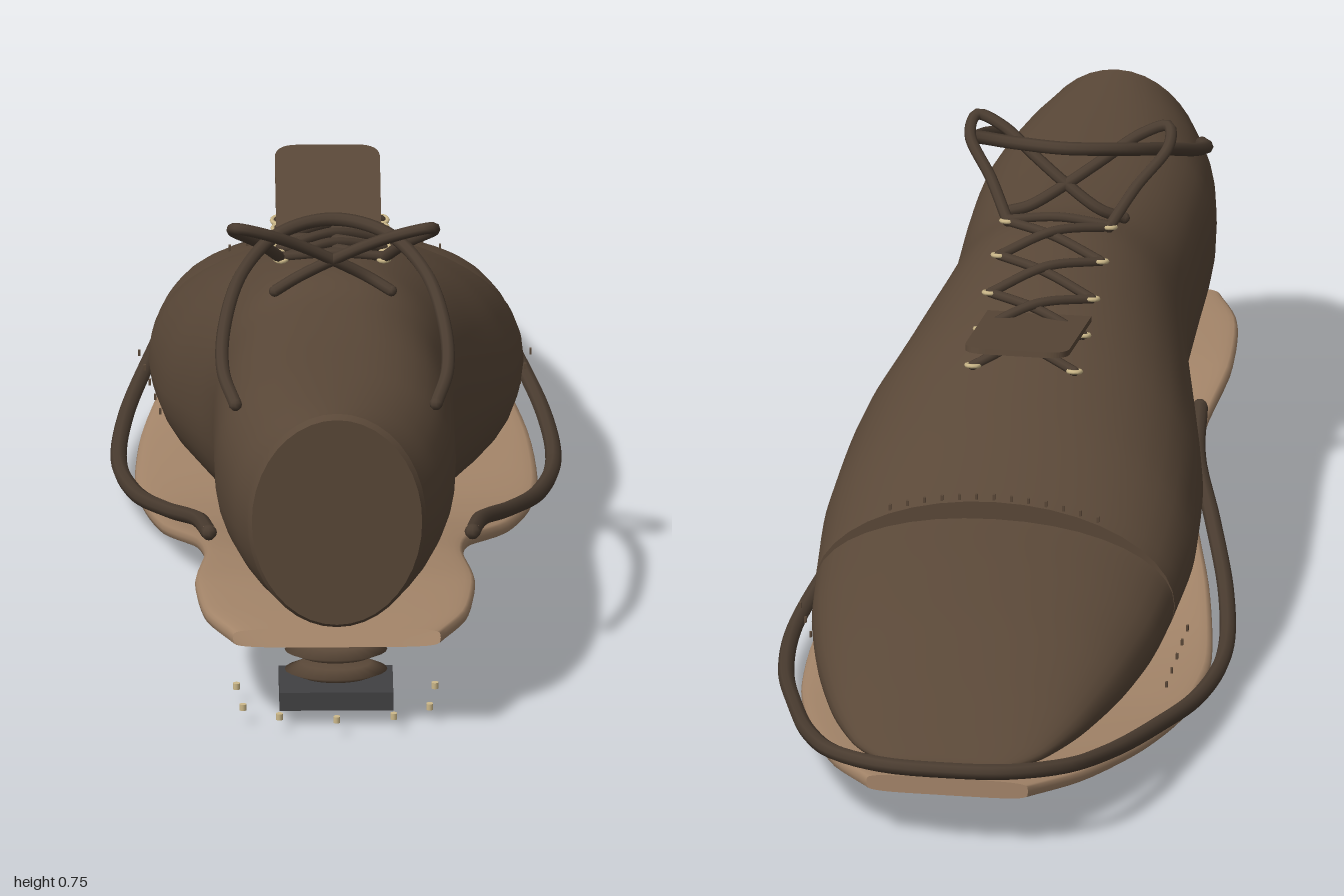
import * as THREE from 'three';

const mat = (name, color, side = THREE.FrontSide) => {
  const m = new THREE.MeshStandardMaterial({ color, side });
  m.name = name;
  return m;
};
const CX = -0.012; // slight offset of heel, lacing and tongue

// Loft of rounded sections, ordered from heel (+z) to toe (-z).
// Section: [z, top, heightOfWidest, bottom, halfWidth, centreX, squareness]
function loft(sections, { steps = 48, sides = 40, startCap = true, endCap = true } = {}) {
  const spline = (i, k) => new THREE.CatmullRomCurve3(
    sections.map(s => new THREE.Vector3(s[i], s[k], s[0])), false, 'catmullrom', 0.4);
  const [c1, c2, c3] = [spline(4, 1), spline(2, 3), spline(5, 6)];
  const pos = [], idx = [];
  const power = (v, n) => Math.sign(v) * Math.abs(v) ** (2 / n);
  for (let i = 0; i <= steps; i++) {
    const t = i / steps, p = c1.getPoint(t), q = c2.getPoint(t), r = c3.getPoint(t);
    for (let j = 0; j < sides; j++) {
      const a = j / sides * Math.PI * 2, s = power(Math.sin(a), r.y);
      const h = s > 0 ? p.y - q.x : q.x - q.y;
      pos.push(r.x + p.x * power(Math.cos(a), r.y), q.x + h * s, p.z);
    }
  }
  for (let i = 0; i < steps; i++) for (let j = 0; j < sides; j++) {
    const a = i * sides + j, b = i * sides + (j + 1) % sides;
    idx.push(a, a + sides, b, b, a + sides, b + sides);
  }
  // flat ends with their own vertices
  const cap = (ring, flip) => {
    const base = pos.length / 3, o = ring * sides, s = sections[flip ? sections.length - 1 : 0];
    for (let k = 0; k < sides * 3; k++) pos.push(pos[o * 3 + k]);
    pos.push(s[5], s[2], s[0]);
    for (let j = 0; j < sides; j++) {
      const a = base + j, b = base + (j + 1) % sides;
      idx.push(base + sides, flip ? b : a, flip ? a : b);
    }
  };
  if (startCap) cap(0, false);
  if (endCap) cap(steps, true);
  const g = new THREE.BufferGeometry();
  g.setAttribute('position', new THREE.Float32BufferAttribute(pos, 3));
  g.setIndex(idx);
  g.computeVertexNormals();
  return g;
}

export function createModel() {
  const model = new THREE.Group();
  model.name = 'shoe';
  const leather = mat('brownLeather', 0x5a4838);
  const cord = mat('darkCord', 0x4a3c30);
  const tan = mat('tanSole', 0xa5866a, THREE.DoubleSide);
  const rubber = mat('blackRubber', 0x414143);
  const brass = mat('paleBrass', 0xcdb98a);

  const add = (name, geo, material, parent = model) => {
    const m = new THREE.Mesh(geo, material);
    m.name = name;
    parent.add(m);
    return m;
  };
  const group = name => {
    const g = new THREE.Group();
    g.name = name;
    model.add(g);
    return g;
  };
  const tube = (name, pts, r, parent = model, seg = 60) => {
    const v = pts.map(p => new THREE.Vector3(...p));
    add(name, new THREE.TubeGeometry(new THREE.CatmullRomCurve3(v), seg, r, 8), cord, parent);
    for (const p of [v[0], v[v.length - 1]])
      add(name + 'End', new THREE.SphereGeometry(r, 8, 6), cord, parent).position.copy(p);
  };

  // Upper, from the closed heel to the toe cap seam
  add('upper', loft([
    [0.985, 0.605, 0.41, 0.213, 0.153, CX, 2],
    [0.9, 0.602, 0.41, 0.21, 0.182, CX, 2.15],
    [0.75, 0.597, 0.41, 0.203, 0.205, CX, 2.4],
    [0.58, 0.593, 0.4, 0.182, 0.207, CX, 2.5],
    [0.42, 0.598, 0.37, 0.15, 0.208, CX, 2.4],
    [0.31, 0.612, 0.34, 0.12, 0.225, -0.01, 2.2],
    [0.15, 0.59, 0.3, 0.09, 0.268, -0.005, 2.05],
    [0, 0.55, 0.27, 0.068, 0.305, 0, 2],
    [-0.2, 0.475, 0.245, 0.06, 0.321, 0, 2],
    [-0.38, 0.395, 0.22, 0.068, 0.312, 0, 2],
  ]), leather);

  // Heel panel set into a thin rim
  add('heelPanel', loft([
    [0.995, 0.597, 0.41, 0.221, 0.146, CX, 2],
    [0.985, 0.605, 0.41, 0.213, 0.153, CX, 2],
  ], { steps: 1, endCap: false }), leather);

  // Toe cap sits a step below the edge of the vamp
  add('toeCap', loft([
    [-0.38, 0.363, 0.22, 0.069, 0.311, 0, 2.1],
    [-0.5, 0.338, 0.205, 0.077, 0.299, 0, 2.1],
    [-0.65, 0.298, 0.19, 0.094, 0.268, 0, 2.15],
    [-0.8, 0.242, 0.175, 0.117, 0.22, 0, 2.2],
    [-0.9, 0.195, 0.163, 0.134, 0.168, 0, 2.2],
    [-0.945, 0.17, 0.155, 0.141, 0.115, 0, 2.2],
    [-0.957, 0.158, 0.152, 0.145, 0.07, 0, 2.2],
  ], { steps: 30 }), leather);

  // Sole: a thin curved slab, open at the heel end
  const soleRow = (z, top, bottom, w, cx) => [z, top, (top + bottom) / 2, bottom, w, cx, 5];
  add('sole', loft([
    soleRow(0.98, 0.208, 0.174, 0.178, CX),
    soleRow(0.87, 0.207, 0.174, 0.225, CX),
    soleRow(0.7, 0.2, 0.166, 0.24, CX),
    soleRow(0.5, 0.171, 0.138, 0.222, CX),
    soleRow(0.3, 0.122, 0.088, 0.236, CX),
    soleRow(0.1, 0.068, 0.033, 0.295, -0.005),
    soleRow(-0.06, 0.043, 0.009, 0.33, 0),
    soleRow(-0.2, 0.037, 0.003, 0.345, 0),
    soleRow(-0.4, 0.044, 0.012, 0.332, 0),
    soleRow(-0.6, 0.067, 0.035, 0.288, 0),
    soleRow(-0.8, 0.098, 0.066, 0.22, 0),
    soleRow(-0.94, 0.124, 0.092, 0.14, 0),
  ], { sides: 32, startCap: false }), tan);

  // Welt cord running round the front of the shoe
  const side = [
    [0.226, 0.2, 0.5], [0.243, 0.17, 0.36], [0.292, 0.125, 0.2], [0.345, 0.078, 0],
    [0.372, 0.058, -0.2], [0.358, 0.066, -0.4], [0.314, 0.094, -0.6],
    [0.257, 0.128, -0.8], [0.2, 0.147, -0.91], [0.105, 0.158, -0.975],
  ];
  const mirrored = side.map(([x, y, z]) => [-x, y, z]).reverse();
  tube('welt', [...side, [0, 0.16, -0.987], ...mirrored], 0.014, model, 120);

  // Tiny stitches around the cap seam
  const stitches = group('capStitches');
  const stitch = new THREE.BoxGeometry(0.004, 0.01, 0.006);
  for (let i = 0; i < 13; i++) {
    const x = -0.18 + i * 0.03;
    add('stitch', stitch, leather, stitches)
      .position.set(x, 0.22 + 0.188 * Math.sqrt(1 - (x / 0.33) ** 2), -0.388);
  }
  for (const s of [-1, 1]) for (let i = 0; i < 5; i++)
    add('stitch', stitch, leather, stitches).position.set(s * (0.335 - i * 0.009), 0.185 - i * 0.027, -0.39);

  // Tongue: flat plate with a rounded tip
  const w = 0.09, len = 0.3, r = 0.04;
  const shape = new THREE.Shape();
  shape.moveTo(-w, 0).lineTo(w, 0).lineTo(w, len - r);
  shape.quadraticCurveTo(w, len, w - r, len).lineTo(-w + r, len);
  shape.quadraticCurveTo(-w, len, -w, len - r);
  const tongue = add('tongue',
    new THREE.ExtrudeGeometry(shape, { depth: 0.01, bevelEnabled: false }), leather);
  tongue.position.set(-0.015, 0.552, 0.045);
  tongue.rotation.x = -Math.PI / 2 + 0.2;

  // Criss-cross lacing and eyelets
  const lacing = group('lacing');
  const rows = [[-0.12, 0.532], [-0.02, 0.556], [0.085, 0.578], [0.19, 0.602], [0.29, 0.622]];
  const ring = new THREE.TorusGeometry(0.011, 0.004, 6, 12);
  rows.forEach(([z, y], i) => {
    for (const s of [-1, 1]) {
      const x = CX + s * 0.088;
      add('eyelet', ring, brass, lacing).position.set(x, y, z);
      lacing.children[lacing.children.length - 1].rotation.x = Math.PI / 2 + 0.25;
      if (i < rows.length - 1) {
        const [z2, y2] = rows[i + 1];
        tube('crossLace', [[x, y, z], [CX, (y + y2) / 2 + 0.014 + s * 0.005, (z + z2) / 2],
          [CX - s * 0.088, y2, z2]], 0.0085, lacing, 16);
      }
    }
  });
  tube('barLace', [[CX - 0.088, 0.625, 0.29], [CX, 0.633, 0.295], [CX + 0.088, 0.625, 0.29]], 0.0085, lacing, 12);

  // Bow loops and the long lace arching to both sides of the heel
  const bow = group('bow');
  for (const s of [-1, 1]) {
    const p = (x, y, z) => [CX + s * x, y, z];
    tube('bowLoop', [p(0.088, 0.622, 0.29), p(0.125, 0.672, 0.35), p(0.172, 0.722, 0.42),
      p(0.165, 0.742, 0.46), p(0.12, 0.728, 0.45), p(0.055, 0.69, 0.41),
      p(0, 0.655, 0.385), p(-0.06, 0.618, 0.37), p(-0.1, 0.598, 0.385)], 0.01, bow);
  }
  const arch = [[0.172, 0.555, 0.81], [0.192, 0.585, 0.73], [0.188, 0.628, 0.62],
    [0.155, 0.68, 0.5], [0.09, 0.715, 0.41]];
  tube('longLace', [...arch.map(([x, y, z]) => [CX + x, y, z]), [CX, 0.726, 0.375],
    ...arch.map(([x, y, z]) => [CX - x, y, z]).reverse()], 0.0115, bow, 90);

  // Stacked lens-shaped heel discs above a rubber block
  const heel = group('heel');
  const lens = new THREE.LatheGeometry(
    [[0, -0.014], [0.06, -0.012], [0.088, 0], [0.06, 0.012], [0, 0.014]]
      .map(p => new THREE.Vector2(...p)), 24);
  for (const y of [0.083, 0.119, 0.155, 0.19]) {
    const d = add('heelDisc', lens, leather, heel);
    d.position.set(CX, y, 0.845);
    d.scale.z = 0.65;
  }
  add('heelBlock', new THREE.BoxGeometry(0.195, 0.033, 0.13), rubber, heel).position.set(CX, 0.049, 0.85);

  // Horseshoe of small nails around the block
  const nail = new THREE.CylinderGeometry(0.006, 0.006, 0.011, 10);
  for (const [x, z] of [[0, 0.96], [0.098, 0.945], [-0.098, 0.945], [0.16, 0.9], [-0.16, 0.9],
    [0.17, 0.8], [-0.17, 0.8]])
    add('nail', nail, brass, heel).position.set(CX + x, 0.034, z);

  return model;
}
